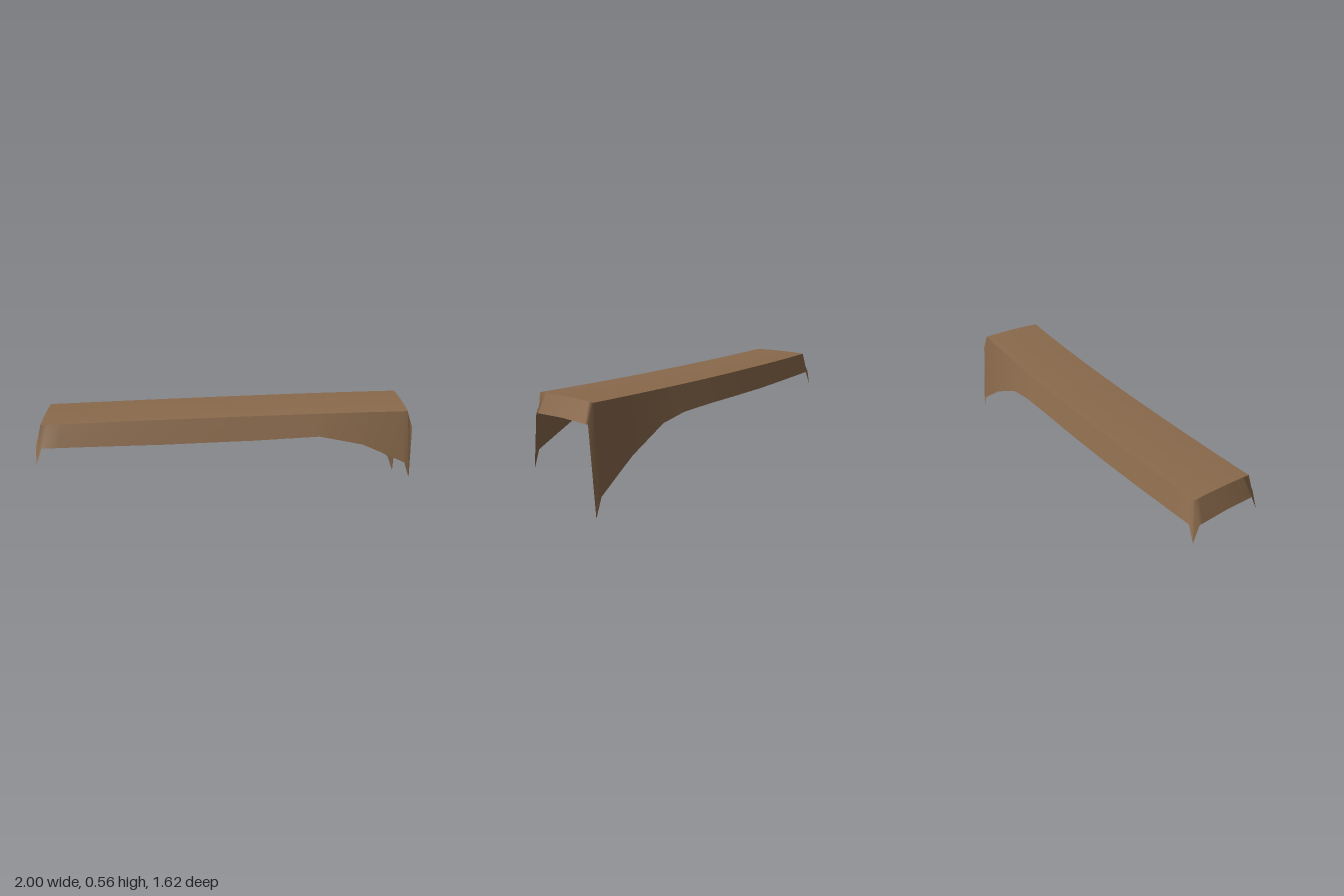
import * as THREE from 'three';

const cloth = new THREE.MeshStandardMaterial({ color: 0x8a6a4c, side: THREE.DoubleSide });
cloth.name = 'brown cloth';

// Plan curves [start, bend, end] as [x, z]: the fold line and the hem on each long side
const FRONT_FOLD = [[-0.945, -0.465], [0.06, 0.214], [0.71, 0.76]];
const BACK_FOLD = [[-0.735, -0.755], [0.255, -0.098], [0.94, 0.47]];
const FRONT_HEM = [[-1, -0.44], [0.04, 0.246], [0.715, 0.805]];
const BACK_HEM = [[-0.755, -0.81], [0.275, -0.13], [1, 0.465]];

// Hem heights as [t, y]; the first and last points are the hanging corner tips
const FRONT_DROP = [[0, 0.28], [0.0145, 0.375], [0.3, 0.377], [0.53, 0.39], [0.716, 0.41], [0.846, 0.36], [0.981, 0.25], [1, 0.155]];
const BACK_DROP = [[0, 0.28], [0.0145, 0.375], [0.3, 0.378], [0.55, 0.39], [0.66, 0.39], [0.746, 0.365], [0.866, 0.25], [0.98, 0.1], [1, 0]];
const LEFT_DROP = [[0, 0.28], [0.08, 0.375], [0.5, 0.382], [0.92, 0.375], [1, 0.28]];
const RIGHT_DROP = [[0, 0.155], [0.08, 0.452], [0.5, 0.459], [0.92, 0.455], [1, 0]];

const bend = (c, t, k) => (1 - t) ** 2 * c[0][k] + 2 * t * (1 - t) * c[1][k] + t * t * c[2][k];
const plan = (c, t, y) => new THREE.Vector3(bend(c, t, 0), y, bend(c, t, 1));

function height(drop, t) {
  for (let i = 1; i < drop.length; i++) {
    const [t0, y0] = drop[i - 1], [t1, y1] = drop[i];
    if (t <= t1) return y0 + (y1 - y0) * (t - t0) / (t1 - t0);
  }
  return drop[drop.length - 1][1];
}

// Point on the top: t along the length, s across from front to back
function topPoint(t, s) {
  const y = 0.495 + 0.056 * t ** 1.1 + 0.02 * s * (1 - s);
  const p = plan(FRONT_FOLD, t, y).lerp(plan(BACK_FOLD, t, y), s);
  return p;
}

// Stations shared by neighbouring sheets so that their edges meet
const stations = (n, ...drops) => [...new Set([
  ...Array.from({ length: n + 1 }, (_, i) => i / n),
  ...drops.flat().map(d => d[0]),
])].sort((a, b) => a - b);
const ALONG = stations(20, FRONT_DROP, BACK_DROP);
const ACROSS = stations(8, LEFT_DROP, RIGHT_DROP);

// Sheet of quads over us x vs
function sheet(name, us, vs, point, flip = false) {
  const pos = [], idx = [], n = vs.length;
  us.forEach(u => vs.forEach(v => pos.push(...point(u, v).toArray())));
  for (let i = 0; i < us.length - 1; i++) {
    for (let j = 0; j < n - 1; j++) {
      const a = i * n + j, b = a + n, c = b + 1, d = a + 1;
      idx.push(...(flip ? [a, d, c, a, c, b] : [a, b, c, a, c, d]));
    }
  }
  const g = new THREE.BufferGeometry();
  g.setAttribute('position', new THREE.Float32BufferAttribute(pos, 3));
  g.setIndex(idx);
  g.computeVertexNormals();
  const m = new THREE.Mesh(g, cloth);
  m.name = name;
  return m;
}

export function createModel() {
  const group = new THREE.Group();
  group.name = 'drapedCover';

  // Gently crowned top
  group.add(sheet('top', ALONG, ACROSS, topPoint));

  // Long skirts; v runs from the hem up to the fold
  const side = (name, hem, drop, s, flip) => group.add(sheet(name, ALONG, [0, 1],
    (t, v) => plan(hem, t, height(drop, t)).lerp(topPoint(t, s), v), flip));
  side('frontSkirt', FRONT_HEM, FRONT_DROP, 0, false);
  side('backSkirt', BACK_HEM, BACK_DROP, 1, true);

  // Short end skirts
  const end = (name, t, drop, flip) => group.add(sheet(name, ACROSS, [0, 1], (s, v) => {
    const y = height(drop, s);
    return plan(FRONT_HEM, t, y).lerp(plan(BACK_HEM, t, y), s).lerp(topPoint(t, s), v);
  }, flip));
  end('rightEndSkirt', 0, LEFT_DROP, true);
  end('leftEndSkirt', 1, RIGHT_DROP, false);

  return group;
}
